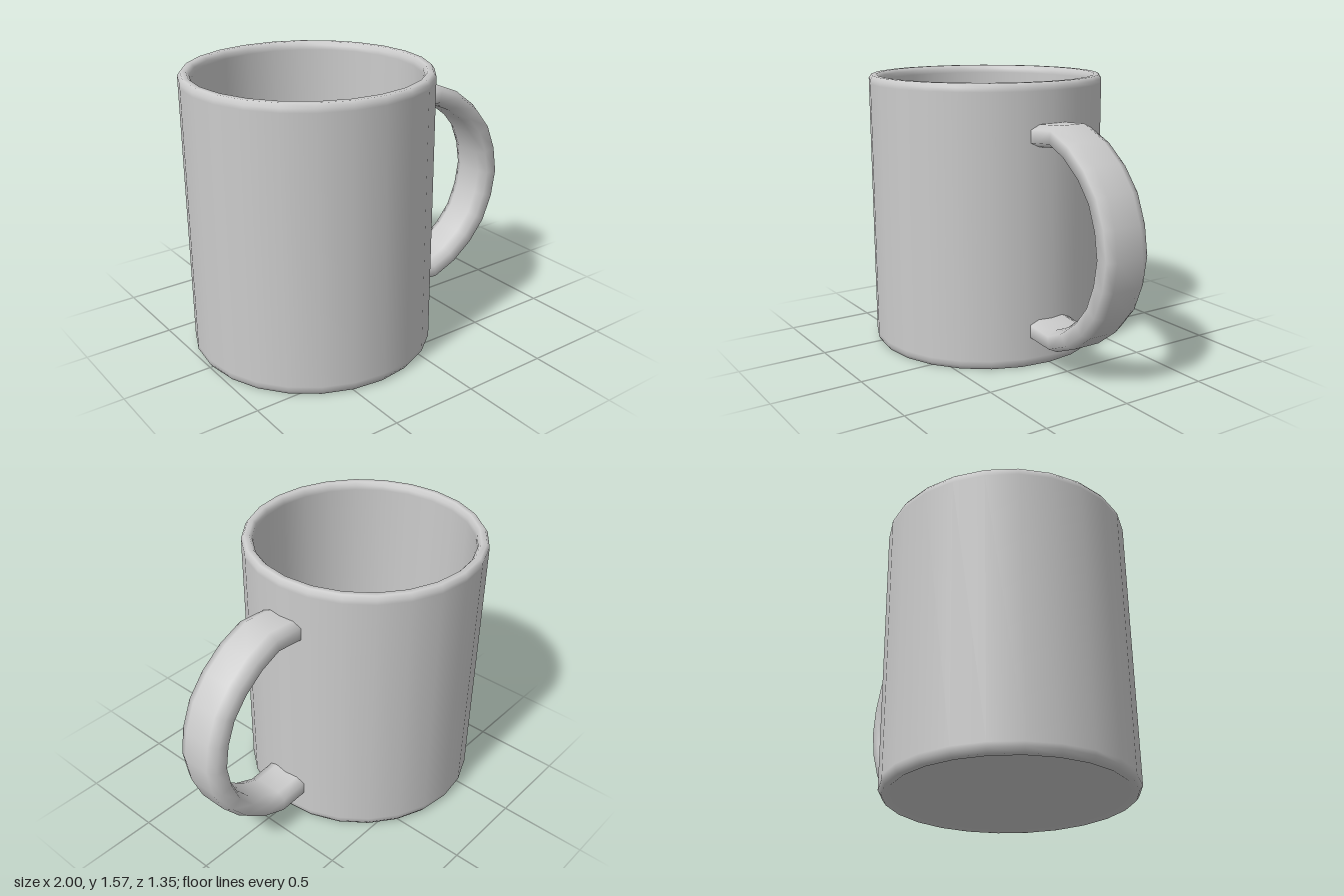
import * as THREE from 'three';

const MUG_X = -0.325;
const MID_Y = 0.748; // mirror height of the handle

// Sweeps a cross-section of [outward, z] pairs along a path lying in the xy plane
function sweep(path, section) {
  const positions = [], index = [], n = section.length;
  path.forEach((p, i) => {
    const a = path[Math.max(i - 1, 0)], b = path[Math.min(i + 1, path.length - 1)];
    const t = b.clone().sub(a).normalize();
    for (const [out, z] of section) positions.push(p.x - t.y * out, p.y + t.x * out, z);
  });
  for (let i = 0; i < path.length - 1; i++) {
    for (let j = 0; j < n; j++) {
      const a = i * n + j, b = i * n + (j + 1) % n;
      index.push(a, b, a + n, b, b + n, a + n);
    }
  }
  const geometry = new THREE.BufferGeometry();
  geometry.setAttribute('position', new THREE.Float32BufferAttribute(positions, 3));
  geometry.setIndex(index);
  geometry.computeVertexNormals();
  return geometry;
}

export function createModel() {
  const group = new THREE.Group();
  group.name = 'mug';
  const material = new THREE.MeshStandardMaterial({ color: 0xcccccc });

  // Cup: underside, outer wall, bevelled rim, inner wall and floor
  const profile = [
    [0, 0.012], [0.61, 0.012], [0.63, 0], [0.658, 0], [0.675, 0.025], [0.675, 0.05],
    [0.675, 1.525], [0.675, 1.548], [0.66, 1.57], [0.63, 1.57], [0.614, 1.55], [0.612, 1.525],
    [0.612, 0.1], [0.61, 0.075], [0.59, 0.06], [0.56, 0.06], [0, 0.06],
  ].map(([r, y]) => new THREE.Vector2(r, y));
  const cup = new THREE.Mesh(new THREE.LatheGeometry(profile, 24), material);
  cup.name = 'cup';
  cup.position.x = MUG_X;
  group.add(cup);

  // Handle: upper half of the path, mirrored below
  const upper = [
    [0.32, 1.287], [0.36, 1.292], [0.5, 1.303], [0.635, 1.245],
    [0.76, 1.15], [0.855, 1.035], [0.911, 0.895],
  ].map(([x, y]) => new THREE.Vector2(x, y));
  const lower = upper.map((p) => new THREE.Vector2(p.x, 2 * MID_Y - p.y)).reverse();
  const path = [...upper, new THREE.Vector2(0.935, MID_Y), ...lower];
  // Flat strap with chamfered edges
  const section = [
    [0.06, -0.08], [0.06, 0.08], [0.035, 0.132], [-0.035, 0.132],
    [-0.06, 0.08], [-0.06, -0.08], [-0.035, -0.132], [0.035, -0.132],
  ];
  const handle = new THREE.Mesh(sweep(path, section), material);
  handle.name = 'handle';
  group.add(handle);

  return group;
}
